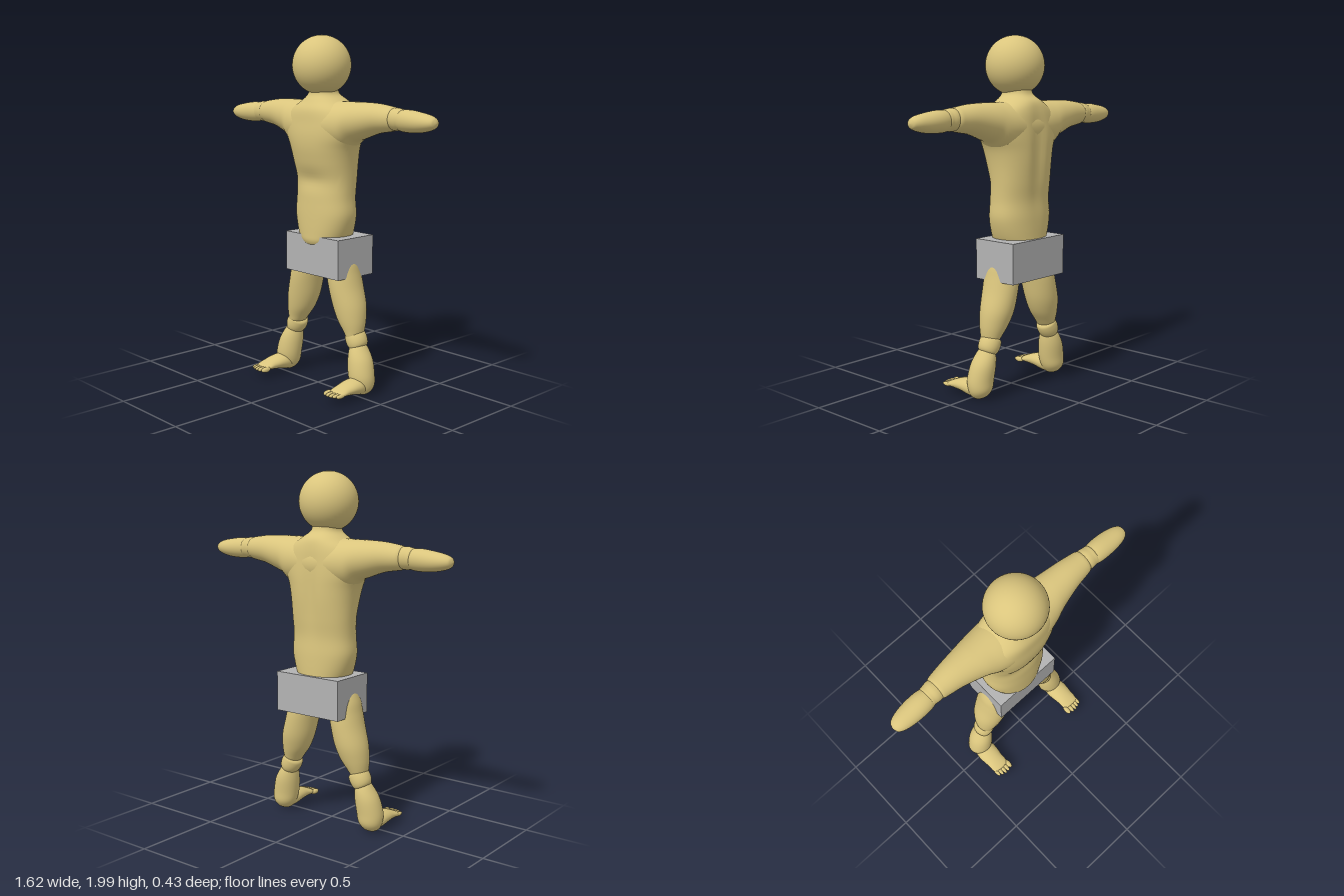
import * as THREE from 'three';

const clay = new THREE.MeshStandardMaterial({ color: 0xdac57d });
clay.name = 'tan clay';
const gray = new THREE.MeshStandardMaterial({ color: 0xb3b3b3 });
gray.name = 'gray block';

// Smooth skin through elliptical rings stacked along axis k (0 x, 1 y, 2 z).
// Ring: [position on axis, centre u, centre v, radius u, radius v], with u and v the next two axes.
function loft(k, rings, steps = 5, sides = 40, power = 2) {
  const pos = [], index = [];
  const rows = (rings.length - 1) * steps;
  const spline = (a, b, c, d, t) =>
    b + 0.5 * t * (c - a + t * (2 * a - 5 * b + 4 * c - d + t * (3 * (b - c) + d - a)));
  const bend = (s) => Math.sign(s) * Math.pow(Math.abs(s), 2 / power);
  for (let r = 0; r <= rows; r++) {
    const i = Math.min(Math.floor(r / steps), rings.length - 2);
    const t = r / steps - i;
    const at = (n) => rings[Math.max(0, Math.min(rings.length - 1, n))];
    const v = rings[0].map((_, j) => spline(at(i - 1)[j], at(i)[j], at(i + 1)[j], at(i + 2)[j], t));
    for (let s = 0; s < sides; s++) {
      const a = (s / sides) * Math.PI * 2;
      const p = [0, 0, 0];
      p[k] = v[0];
      p[(k + 1) % 3] = v[1] + Math.max(0, v[3]) * bend(Math.cos(a));
      p[(k + 2) % 3] = v[2] + Math.max(0, v[4]) * bend(Math.sin(a));
      pos.push(...p);
      if (r < rows) {
        const b = r * sides + s, c = r * sides + ((s + 1) % sides);
        index.push(b, c, c + sides, b, c + sides, b + sides);
      }
    }
  }
  const g = new THREE.BufferGeometry();
  g.setAttribute('position', new THREE.Float32BufferAttribute(pos, 3));
  g.setIndex(index);
  g.computeVertexNormals();
  return g;
}

// Copy reflected across x = 0, with corner order reversed
function mirror(geometry) {
  const g = geometry.clone().scale(-1, 1, 1);
  const idx = g.index.array;
  for (let i = 0; i < idx.length; i += 3) [idx[i], idx[i + 1]] = [idx[i + 1], idx[i]];
  g.computeVertexNormals();
  return g;
}

export function createModel() {
  const model = new THREE.Group();
  const add = (name, geometry, material = clay) => {
    const mesh = new THREE.Mesh(geometry, material);
    mesh.name = name;
    model.add(mesh);
  };
  const addPair = (name, geometry) => {
    add('left' + name, geometry);
    add('right' + name, mirror(geometry));
  };

  // Head
  add('head', new THREE.SphereGeometry(0.165, 48, 32).translate(0, 1.835, -0.028));

  // Torso and neck
  const torso = loft(1, [
    [0.80, -0.05, 0, 0, 0],
    [0.82, -0.06, 0, 0.10, 0.08],
    [0.85, -0.063, 0, 0.132, 0.135],
    [0.90, -0.063, 0, 0.135, 0.168],
    [1.00, -0.063, 0, 0.133, 0.195],
    [1.10, -0.063, 0, 0.128, 0.19],
    [1.20, -0.068, 0, 0.132, 0.193],
    [1.30, -0.060, 0, 0.148, 0.203],
    [1.38, -0.053, 0, 0.157, 0.22],
    [1.45, -0.050, 0, 0.158, 0.25],
    [1.52, -0.050, 0, 0.152, 0.26],
    [1.59, -0.050, 0, 0.143, 0.21],
    [1.64, -0.055, 0, 0.120, 0.13],
    [1.68, -0.045, 0, 0.088, 0.08],
    [1.74, -0.035, 0, 0.075, 0.072],
    [1.78, -0.030, 0, 0, 0],
  ], 5, 64, 2.25);
  // Spine furrow, and a shallow dip below the chest
  const p = torso.attributes.position;
  for (let i = 0; i < p.count; i++) {
    const x = p.getX(i), y = p.getY(i), z = p.getZ(i);
    const spine = 0.018 * Math.exp(-((x / 0.045) ** 2) - (((y - 1.35) / 0.22) ** 2));
    const dip = 0.012 * Math.exp(-((x / 0.12) ** 2) - (((y - 1.2) / 0.05) ** 2));
    if (z < -0.1) p.setZ(i, z + spine);
    if (z > 0) p.setZ(i, z - dip);
  }
  torso.computeVertexNormals();
  add('torso', torso);

  // Shoulders and upper arms, one skin from elbow to elbow
  const arm = [
    [0.12, 1.505, -0.052, 0.135, 0.143],
    [0.20, 1.51, -0.057, 0.13, 0.130],
    [0.25, 1.53, -0.060, 0.110, 0.117],
    [0.30, 1.54, -0.063, 0.100, 0.105],
    [0.40, 1.555, -0.066, 0.081, 0.085],
    [0.48, 1.557, -0.066, 0.069, 0.072],
    [0.515, 1.557, -0.066, 0.062, 0.064],
    [0.53, 1.557, -0.066, 0.045, 0.045],
    [0.535, 1.557, -0.066, 0, 0],
  ];
  const flipped = arm.map(([x, ...rest]) => [-x, ...rest]).reverse();
  add('shouldersAndUpperArms', loft(0, [...flipped, [0, 1.5, -0.05, 0.135, 0.15], ...arm]));

  // Elbows
  addPair('Elbow', loft(0, [
    [0.495, 1.557, -0.064, 0, 0], [0.505, 1.557, -0.064, 0.05, 0.05],
    [0.53, 1.558, -0.064, 0.06, 0.06], [0.56, 1.557, -0.063, 0.058, 0.057],
    [0.585, 1.556, -0.062, 0.05, 0.05], [0.595, 1.556, -0.062, 0, 0],
  ]));

  // Forearms with rounded ends
  addPair('Forearm', loft(0, [
    [0.55, 1.553, -0.06, 0, 0], [0.556, 1.553, -0.06, 0.042, 0.042],
    [0.58, 1.553, -0.06, 0.056, 0.056], [0.63, 1.552, -0.06, 0.059, 0.062],
    [0.70, 1.549, -0.059, 0.053, 0.06], [0.76, 1.549, -0.057, 0.042, 0.05],
    [0.795, 1.549, -0.056, 0.028, 0.034], [0.806, 1.549, -0.056, 0.014, 0.016],
    [0.81, 1.549, -0.056, 0, 0],
  ]));

  // Hip block
  add('hipBlock', new THREE.BoxGeometry(0.43, 0.225, 0.275).translate(0.01, 0.7725, -0.0775), gray);

  // Thighs
  addPair('Thigh', loft(1, [
    [0.29, -0.055, 0.245, 0, 0], [0.30, -0.055, 0.243, 0.03, 0.025],
    [0.325, -0.057, 0.24, 0.052, 0.043], [0.36, -0.06, 0.231, 0.064, 0.06],
    [0.42, -0.063, 0.211, 0.082, 0.083], [0.50, -0.066, 0.190, 0.098, 0.095],
    [0.60, -0.064, 0.164, 0.106, 0.092], [0.68, -0.062, 0.147, 0.105, 0.090],
    [0.75, -0.062, 0.135, 0.095, 0.086], [0.82, -0.062, 0.125, 0.06, 0.06],
    [0.85, -0.062, 0.12, 0, 0],
  ]));

  // Knees, tilted along the leg
  const knee = loft(1, [
    [-0.06, 0, 0, 0, 0], [-0.05, 0, 0, 0.045, 0.04], [-0.025, 0, 0, 0.06, 0.057],
    [0.015, 0, 0, 0.062, 0.06], [0.04, 0, 0, 0.052, 0.048], [0.05, 0, 0, 0, 0],
  ]);
  addPair('Knee', knee.rotateZ(0.5).translate(0.25, 0.308, -0.063));

  // Shins down to the heels
  addPair('Shin', loft(1, [
    [0.305, -0.06, 0.262, 0, 0], [0.295, -0.06, 0.264, 0.035, 0.035],
    [0.26, -0.058, 0.274, 0.057, 0.053], [0.20, -0.053, 0.291, 0.071, 0.071],
    [0.12, -0.047, 0.306, 0.073, 0.077], [0.065, -0.05, 0.312, 0.066, 0.07],
    [0.03, -0.046, 0.315, 0.048, 0.05], [0.012, -0.042, 0.316, 0.022, 0.024],
    [0.007, -0.04, 0.316, 0, 0],
  ].reverse()));

  // Feet
  addPair('Foot', loft(2, [
    [-0.07, 0.31, 0.05, 0, 0], [-0.05, 0.31, 0.05, 0.045, 0.032],
    [0, 0.312, 0.064, 0.062, 0.047], [0.05, 0.313, 0.069, 0.063, 0.040],
    [0.10, 0.314, 0.066, 0.057, 0.031], [0.14, 0.314, 0.061, 0.056, 0.021],
    [0.165, 0.314, 0.057, 0.045, 0.013], [0.172, 0.314, 0.056, 0, 0],
  ]));

  // Toes
  [[0.266, 0.172, 0.016], [0.292, 0.180, 0.013], [0.315, 0.180, 0.012],
    [0.337, 0.174, 0.012], [0.358, 0.165, 0.012]].forEach(([x, z, r], i) => {
    const toe = new THREE.SphereGeometry(r, 16, 12).scale(1, 1, 0.033 / r);
    addPair('Toe' + (i + 1), toe.translate(x, 0.055, z));
  });

  return model;
}
